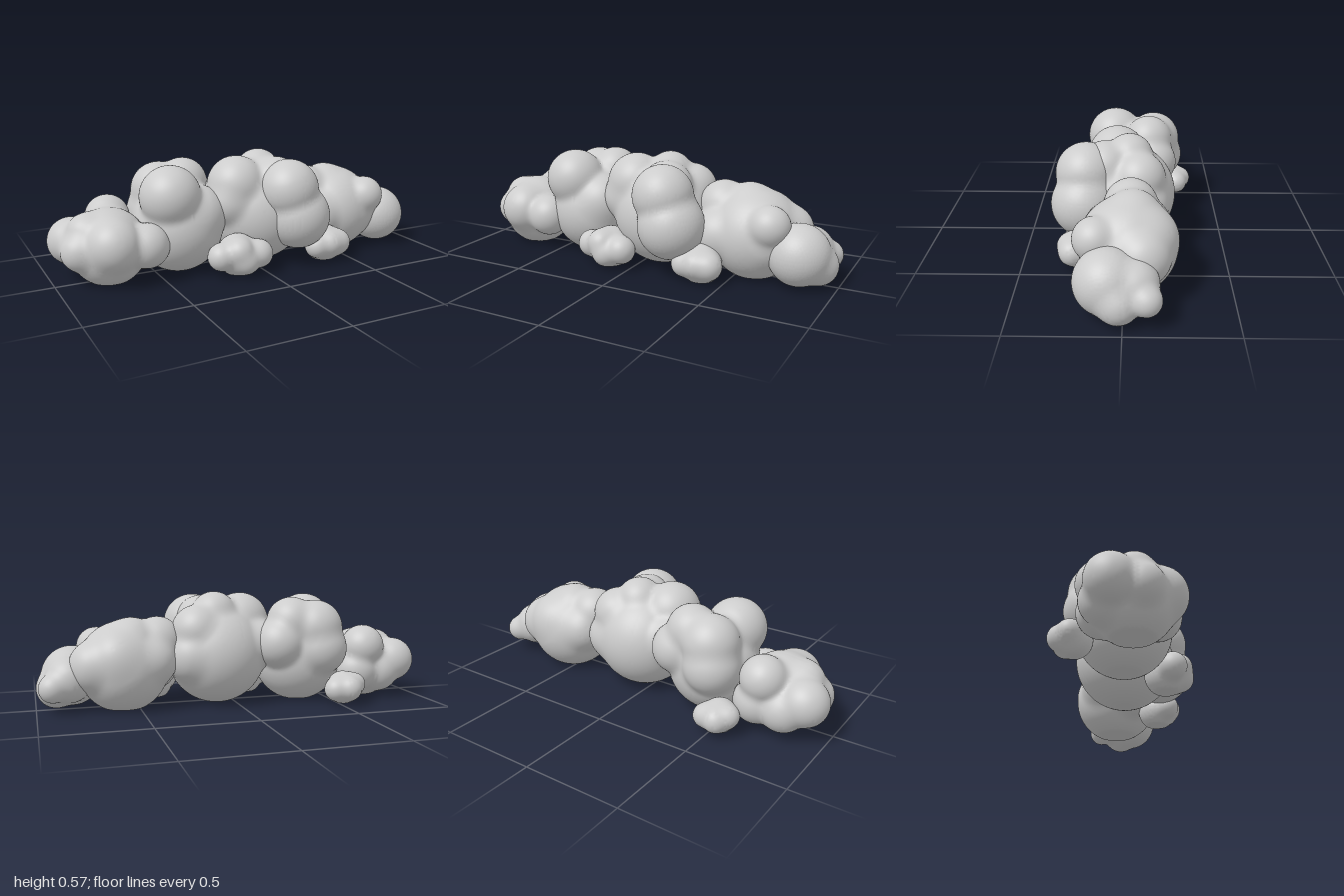
import * as THREE from 'three';
import { mergeVertices, toCreasedNormals } from 'three/addons/utils/BufferGeometryUtils.js';

// Each clump: core first, then its puffs, as [x, y, z, radius]
const CLUMPS = {
  rightEndClump: [
    [-0.73, 0.165, 0.0, 0.192], [-0.885, 0.19, -0.1, 0.116], [-0.69, 0.275, -0.14, 0.112],
    [-0.735, 0.2, 0.11, 0.132], [-0.575, 0.18, 0.12, 0.11], [-0.83, 0.245, 0.0, 0.1],
    [-0.66, 0.15, -0.13, 0.115], [-0.79, 0.14, -0.12, 0.115], [-0.87, 0.17, 0.03, 0.1],
  ],
  rightClump: [
    [-0.36, 0.215, -0.02, 0.23], [-0.43, 0.395, 0.065, 0.152], [-0.41, 0.385, -0.15, 0.142],
    [-0.43, 0.28, -0.17, 0.14], [-0.29, 0.415, -0.12, 0.128], [-0.22, 0.31, -0.14, 0.13],
    [-0.28, 0.28, 0.04, 0.15],
  ],
  middleClump: [
    [0.08, 0.25, 0.005, 0.258], [-0.06, 0.41, 0.045, 0.15], [0.1, 0.455, -0.02, 0.118],
    [0.14, 0.415, 0.1, 0.132], [0.2, 0.38, -0.07, 0.13], [-0.12, 0.3, -0.06, 0.13],
    [-0.1, 0.33, 0.06, 0.13], [0.22, 0.25, -0.08, 0.14],
  ],
  frontMiddleClump: [
    [0.2, 0.3, 0.18, 0.14], [0.165, 0.395, 0.195, 0.152], [0.215, 0.25, 0.203, 0.167],
  ],
  leftClump: [
    [0.57, 0.205, -0.02, 0.23], [0.53, 0.325, -0.04, 0.128], [0.4, 0.325, -0.03, 0.128],
    [0.61, 0.255, -0.105, 0.142], [0.69, 0.292, 0.127, 0.1], [0.71, 0.22, -0.08, 0.135],
    [0.44, 0.24, -0.09, 0.13], [0.42, 0.2, 0.06, 0.14], [0.66, 0.2, 0.05, 0.14],
  ],
  leftEndClump: [
    [0.82, 0.157, 0.068, 0.151], [0.898, 0.105, 0.02, 0.1], [0.92, 0.125, -0.1, 0.07],
    [0.84, 0.155, -0.045, 0.115],
  ],
  frontRightTuft: [
    [-0.13, 0.09, 0.2, 0.108], [-0.23, 0.1, 0.225, 0.07], [-0.15, 0.125, 0.262, 0.07],
    [-0.04, 0.1, 0.255, 0.072], [-0.12, 0.075, 0.275, 0.065],
  ],
  frontLeftTuft: [
    [0.38, 0.08, 0.2, 0.1], [0.31, 0.085, 0.25, 0.063], [0.38, 0.095, 0.265, 0.065],
    [0.435, 0.09, 0.25, 0.068],
  ],
  backTuft: [
    [-0.53, 0.08, -0.25, 0.085], [-0.54, 0.085, -0.31, 0.063], [-0.585, 0.1, -0.27, 0.055],
    [-0.475, 0.08, -0.29, 0.06],
  ],
};

// Distance to the spheres with softly filled creases
function distanceTo(p, spheres) {
  const k = 0.025;
  let d = Infinity;
  for (const [x, y, z, r] of spheres) {
    const e = Math.hypot(p.x - x, p.y - y, p.z - z) - r;
    if (d === Infinity) { d = e; continue; }
    const h = Math.max(k - Math.abs(d - e), 0) / k;
    d = Math.min(d, e) - h * h * k / 4;
  }
  return d;
}

// Shrink-wrap a ball around a clump, then flatten it on the ground
function clumpGeometry(spheres, detail) {
  const ball = new THREE.IcosahedronGeometry(1, detail);
  ball.deleteAttribute('uv');
  ball.deleteAttribute('normal');
  const geometry = mergeVertices(ball, 1e-5);
  const core = new THREE.Vector3(...spheres[0]);
  const position = geometry.attributes.position;
  const dir = new THREE.Vector3(), p = new THREE.Vector3();
  for (let i = 0; i < position.count; i++) {
    dir.fromBufferAttribute(position, i).normalize();
    let t = 0.7;
    for (let step = 0; step < 60; step++) {
      const d = distanceTo(p.copy(core).addScaledVector(dir, t), spheres);
      if (d < 0.0005) break;
      t -= d;
    }
    p.copy(core).addScaledVector(dir, t);
    position.setXYZ(i, p.x, Math.max(p.y, 0), p.z);
  }
  return toCreasedNormals(geometry, 0.8);
}

export function createModel() {
  const model = new THREE.Group();
  model.name = 'bush';
  const foliage = new THREE.MeshStandardMaterial({ color: 0xcccccc });
  foliage.name = 'foliage grey';
  for (const [name, spheres] of Object.entries(CLUMPS)) {
    const mesh = new THREE.Mesh(clumpGeometry(spheres, name.endsWith('Tuft') ? 12 : 22), foliage);
    mesh.name = name;
    model.add(mesh);
  }
  return model;
}
